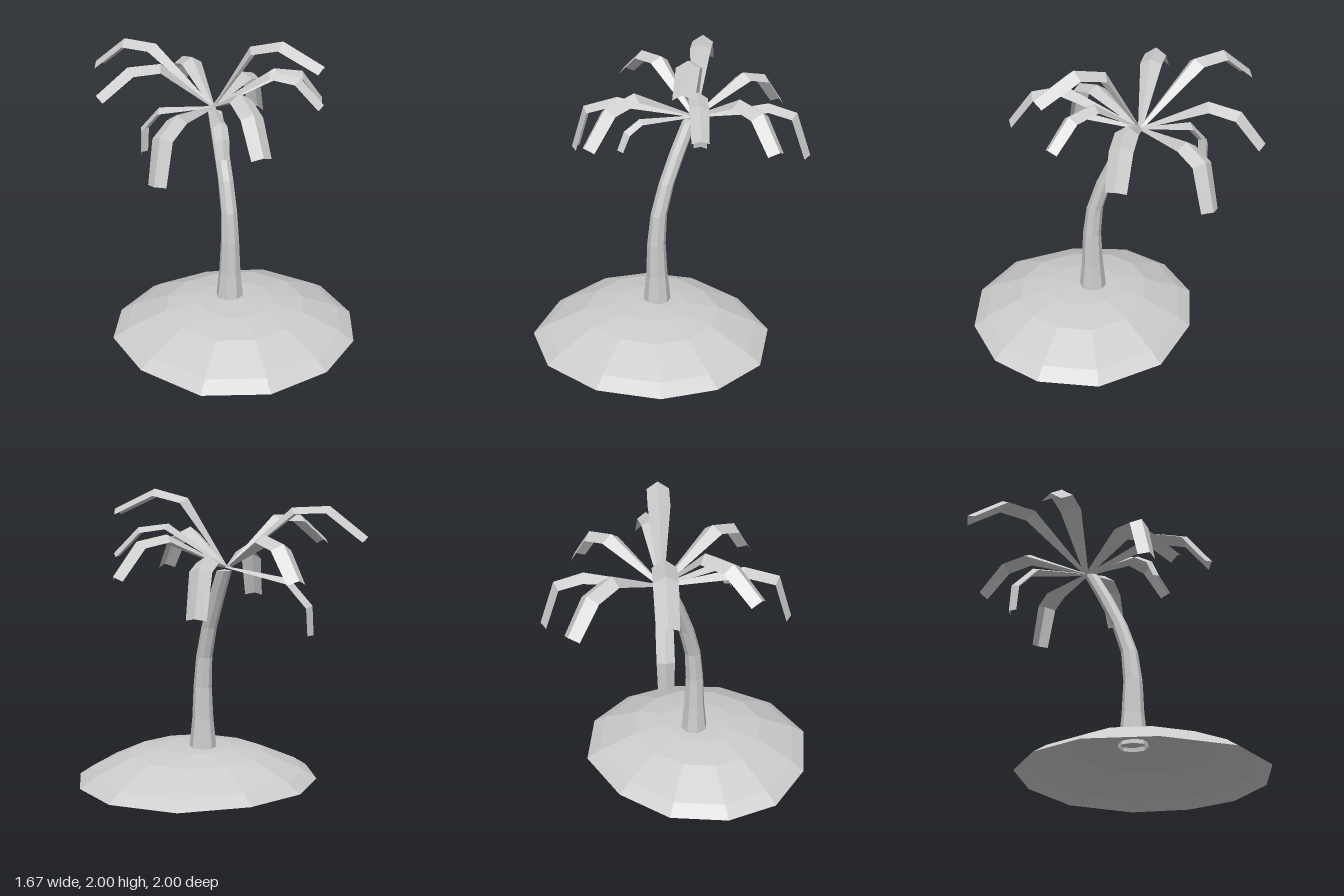
import * as THREE from 'three';

const material = new THREE.MeshStandardMaterial({ color: 0xcccccc, flatShading: true, side: THREE.DoubleSide });
const V = (x, y, z) => new THREE.Vector3(x, y, z);

// Skins a list of cross-sections (rows of points) with faceted quads
function loft(name, rows) {
  const points = [];
  for (let i = 0; i < rows.length - 1; i++) {
    for (let j = 0; j < rows[i].length - 1; j++) {
      const a = rows[i][j], b = rows[i][j + 1], c = rows[i + 1][j + 1], d = rows[i + 1][j];
      points.push(a, b, d, b, c, d);
    }
  }
  const geometry = new THREE.BufferGeometry().setFromPoints(points);
  geometry.computeVertexNormals();
  const mesh = new THREE.Mesh(geometry, material);
  mesh.name = name;
  return mesh;
}

// Low dome: an irregular twelve-sided outline shrunk towards its middle
function island() {
  const outline = [
    [-0.835, 0.04], [-0.76, 0.47], [-0.485, 0.86], [-0.07, 1.0], [0.36, 0.91], [0.69, 0.65],
    [0.835, 0.31], [0.8, -0.095], [0.5, -0.455], [0.04, -0.585], [-0.38, -0.53], [-0.69, -0.29],
  ];
  outline.push(outline[0]);
  const rings = [[1, 0], [0.89, 0.06], [0.57, 0.18], [0.3, 0.22], [0, 0.232]];
  return loft('island', rings.map(([s, y]) =>
    outline.map(([x, z]) => V(x * s, y, 0.2 + (z - 0.2) * s))));
}

// Bent, tapering trunk: [y, z, radius] for each ring
function trunk() {
  const sides = 8;
  const rings = [
    [0.2, 0.13, 0.097], [0.42, 0.13, 0.074], [0.65, 0.132, 0.063], [0.86, 0.11, 0.056],
    [1.07, 0.043, 0.053], [1.28, -0.055, 0.053], [1.47, -0.155, 0.05], [1.48, -0.16, 0],
  ];
  return loft('trunk', rings.map(([y, z, r]) =>
    Array.from({ length: sides + 1 }, (_, i) => {
      const t = ((i % sides) / sides) * Math.PI * 2 + 0.2;
      return V(-0.016 + r * Math.sin(t), y, z + r * Math.cos(t));
    })));
}

// Roof-shaped leaf along a ridge of [distance, height] points
function frond(angle, ridge, width) {
  const path = [[0, 1.5], ...ridge].map(([r, y]) => V(0, y, r));
  const halfWidths = [0.015, width, width, width * 0.9];
  const rows = path.map((p, i) => {
    const along = path[Math.min(i + 1, 3)].clone().sub(path[Math.max(i - 1, 0)]).normalize();
    const w = halfWidths[i], drop = w * 0.65;
    const edge = p.clone().add(V(0, -along.z * drop, along.y * drop));
    return [edge.clone().setX(w), p, edge.clone().setX(-w)];
  });
  const mesh = loft('frond', rows);
  mesh.rotation.y = angle;
  return mesh;
}

export function createModel() {
  const model = new THREE.Group();
  model.name = 'palmIsland';
  model.add(island(), trunk());

  // Crown of fronds: [degrees turned from the front, ridge points, half width]
  const crown = new THREE.Group();
  crown.name = 'crown';
  crown.position.set(-0.016, 0, -0.195);
  const fronds = [
    [0, [[0.495, 1.745], [0.72, 1.685], [0.885, 1.465]], 0.073],
    [45, [[0.265, 1.94], [0.49, 2.0], [0.77, 1.87]], 0.073],
    [53, [[0.385, 1.775], [0.585, 1.75], [0.75, 1.58]], 0.06],
    [90, [[0.44, 1.715], [0.65, 1.675], [0.81, 1.465]], 0.073],
    [135, [[0.49, 1.6], [0.68, 1.54], [0.78, 1.25]], 0.07],
    [180, [[0.43, 1.72], [0.64, 1.67], [0.805, 1.465]], 0.073],
    [225, [[0.42, 1.88], [0.66, 1.89], [0.9, 1.7]], 0.073],
    [225, [[0.41, 1.43], [0.56, 1.26], [0.57, 1.07]], 0.055],
    [270, [[0.355, 1.83], [0.575, 1.83], [0.79, 1.665]], 0.073],
    [315, [[0.52, 1.61], [0.75, 1.54], [0.84, 1.25]], 0.07],
    [347, [[0.4, 1.53], [0.51, 1.46], [0.56, 1.34]], 0.045],
  ];
  for (const [degrees, ridge, width] of fronds) {
    crown.add(frond(THREE.MathUtils.degToRad(degrees), ridge, width));
  }
  model.add(crown);
  return model;
}
